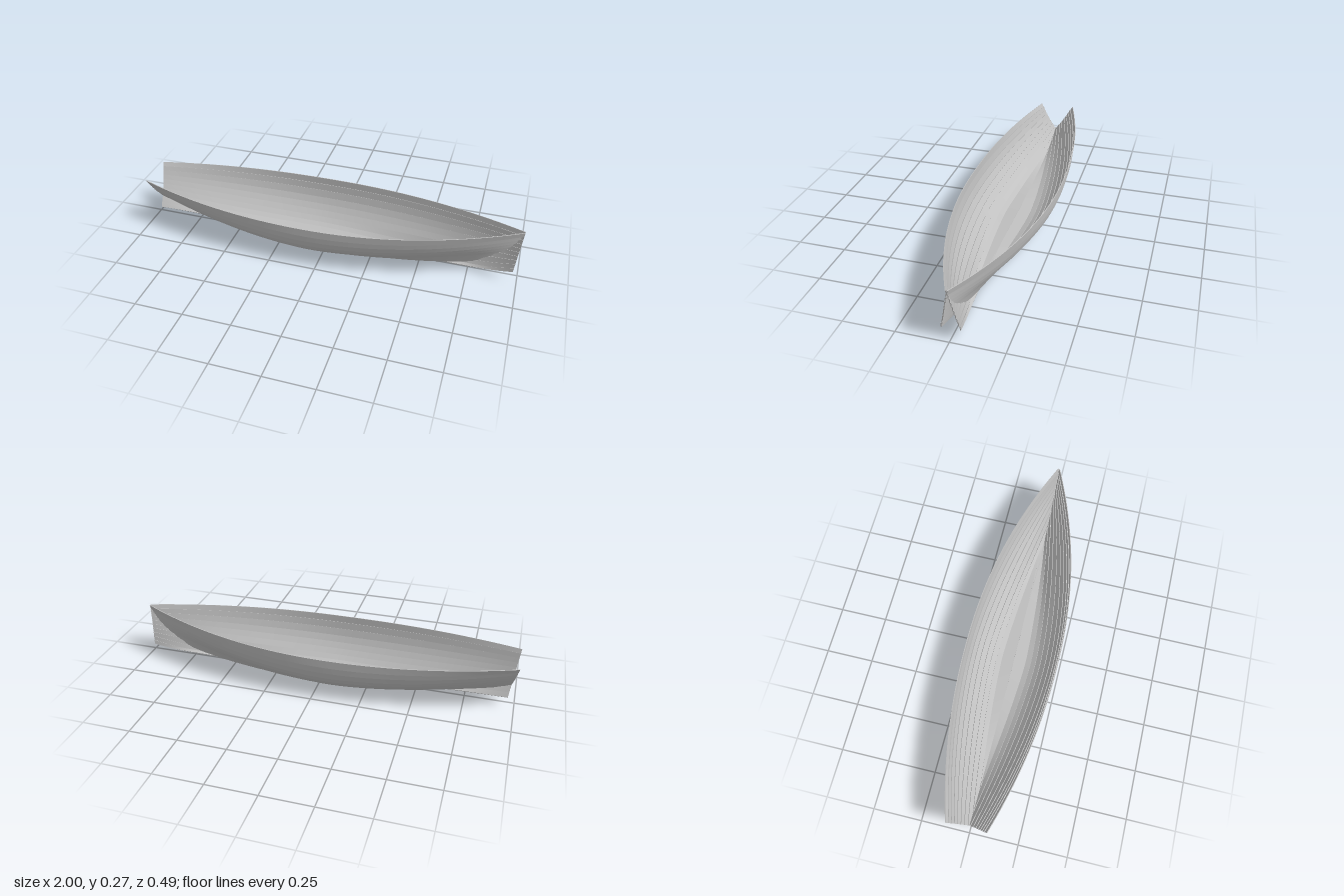
import * as THREE from 'three';

const hullGrey = new THREE.MeshStandardMaterial({ color: 0xc0c0c0, side: THREE.DoubleSide });
hullGrey.name = 'hullGrey';

const STATIONS = 48, THICK = 0.004, LAP = 0.004, WIDEST = 0.465;

// Midship seams [z, y], from the keel edge up to the sheer
const MID = [[0, 0.009], [0.064, 0.001], [0.095, 0.008], [0.122, 0.02], [0.149, 0.039], [0.176, 0.063],
  [0.2, 0.09], [0.22, 0.122], [0.234, 0.16], [0.242, 0.197], [0.243, 0.235]];
const STRAKES = MID.length - 1;
const mix = (a, b, t) => a + (b - a) * t;

// Point on seam i at u = 0 (stern) .. 1 (bow); low planks run past the centreline at both ends
function seam(i, u) {
  const f = i / STRAKES, bow = u > WIDEST;
  const s = bow ? (u - WIDEST) / (1 - WIDEST) : (WIDEST - u) / WIDEST;
  const endZ = bow ? mix(-0.042, 0.006, Math.pow(f, 0.9)) : mix(-0.042, 0.102, f) + 0.012 * Math.sin(Math.PI * f);
  const endY = bow ? mix(0.055, 0.275, f) : mix(0.055, 0.26, f);
  const zPower = i === 0 ? 3 : mix(1.35, 2.1, f);
  const yPower = bow ? Math.max(1.9, 6 - 1.2 * i) : 1.8;
  return new THREE.Vector3(
    mix(-0.965 - 0.035 * f, 0.975 + 0.025 * f, u),
    mix(MID[i][1], endY, Math.pow(s, yPower)),
    mix(MID[i][0], endZ, Math.pow(s, zPower)));
}

// Four corners of a plank's section: lower outer, upper outer, upper inner, lower inner
function plankSection(i, u, side) {
  const low = seam(i, u), high = seam(i + 1, u);
  const along = new THREE.Vector3(0, high.y - low.y, high.z - low.z).normalize();
  const out = new THREE.Vector3(0, -along.z, along.y);
  if (i > 1) low.addScaledVector(along, -LAP);
  const corners = [
    low.clone(),
    high.clone().addScaledVector(out, i === STRAKES - 1 ? 0 : -THICK),
    high.clone().addScaledVector(out, i === STRAKES - 1 ? -THICK : -2 * THICK),
    low.clone().addScaledVector(out, -THICK)];
  corners.forEach(p => { p.z *= side; p.y = Math.max(p.y, 0); });
  return corners;
}

// A lofted plank: four separate faces for crisp edges, with closed ends
function plankGeometry(i, side) {
  const pos = [], index = [];
  const sections = Array.from({ length: STATIONS + 1 }, (_, k) => plankSection(i, k / STATIONS, side));
  const quad = (a, b, c, d) => side > 0 ? index.push(a, b, c, a, c, d) : index.push(a, c, b, a, d, c);
  for (let e = 0; e < 4; e++) {
    const base = pos.length / 3;
    sections.forEach(c => pos.push(...c[e].toArray(), ...c[(e + 1) % 4].toArray()));
    for (let k = 0; k < STATIONS; k++) {
      const a = base + 2 * k;
      quad(a, a + 2, a + 3, a + 1);
    }
  }
  [[sections[0], false], [sections[STATIONS], true]].forEach(([c, bow]) => {
    const b = pos.length / 3;
    c.forEach(p => pos.push(...p.toArray()));
    if (bow) quad(b, b + 3, b + 2, b + 1);
    else quad(b, b + 1, b + 2, b + 3);
  });
  const g = new THREE.BufferGeometry();
  g.setAttribute('position', new THREE.Float32BufferAttribute(pos, 3));
  g.setIndex(index);
  g.computeVertexNormals();
  return g;
}

export function createModel() {
  const model = new THREE.Group();
  model.name = 'lappedPlankHull';
  for (const [side, name] of [[1, 'front'], [-1, 'back']]) {
    const half = new THREE.Group();
    half.name = name + 'Planking';
    for (let i = 0; i < STRAKES; i++) {
      const plank = new THREE.Mesh(plankGeometry(i, side), hullGrey);
      plank.name = i === 0 ? 'garboardPlank' : i === STRAKES - 1 ? 'sheerPlank' : 'plank' + (i + 1);
      half.add(plank);
    }
    model.add(half);
  }
  return model;
}
